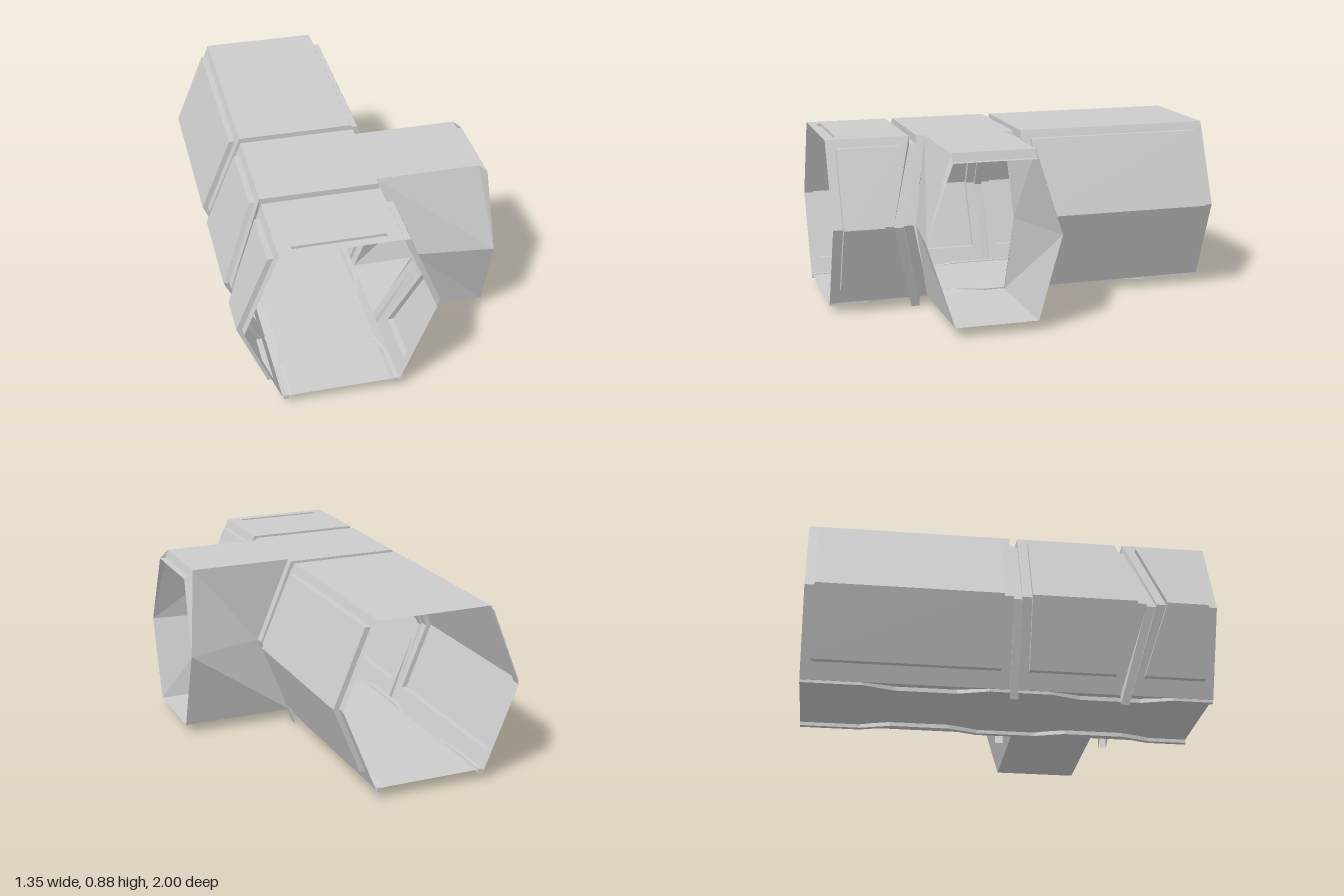
import * as THREE from 'three';

const material = new THREE.MeshStandardMaterial({ color: 0xcccccc, flatShading: true, side: THREE.DoubleSide });
const CX = -0.19;   // tunnel axis
const HW = 0.287;   // half width of roof and floor
const ROOF = 0.88, MID = 0.465, FLOOR = 0.05;

// Mesh from a list of four-cornered faces
function quadMesh(name, quads) {
  const pos = [];
  for (const [a, b, c, d] of quads) pos.push(...a, ...b, ...c, ...a, ...c, ...d);
  const geo = new THREE.BufferGeometry();
  geo.setAttribute('position', new THREE.Float32BufferAttribute(pos, 3));
  geo.computeVertexNormals();
  const mesh = new THREE.Mesh(geo, material);
  mesh.name = name;
  return mesh;
}

// Horizontal rectangle
const flat = (x0, x1, y, z0, z1) => [[x0, y, z0], [x0, y, z1], [x1, y, z1], [x1, y, z0]];

// 0 at roof and floor, 1 at the widest height
const bulge = (y) => (y > MID ? (ROOF - y) / (ROOF - MID) : (y - FLOOR) / (MID - FLOOR));

// An edge across the wall is { c: z at the corners, m: z at the widest height }
const edgeZ = (e, y) => e.c + (e.m - e.c) * bulge(y);

// Outward-facing quad, mirrored for the other side
const orient = (q, s) => (s > 0 ? q : [...q].reverse());

// Slanted side wall with a raised hollow panel, or an opening for the branch
function sideWall(name, s, back, front, open = false) {
  const ys = [ROOF, 0.84, MID, 0.13, FLOOR];
  const inset = 0.048, raise = 0.028;
  const point = (r, c, out = 0) => {
    const y = ys[r], z0 = edgeZ(back, y), z1 = edgeZ(front, y);
    return [CX + s * (HW + 0.17 * bulge(y) + out), y, [z0, z0 + inset, z1 - inset, z1][c]];
  };
  const quads = [];
  const cell = (r, c, out) => quads.push(orient(
    [point(r, c, out), point(r, c + 1, out), point(r + 1, c + 1, out), point(r + 1, c, out)], s));
  for (let r = 0; r < 4; r++) {
    const panelRow = r === 1 || r === 2;
    cell(r, 0, 0);
    cell(r, 2, 0);
    if (open) continue;
    cell(r, 1, panelRow ? raise : 0);
    if (panelRow) for (const c of [1, 2]) {
      const q = [point(r, c), point(r, c, raise), point(r + 1, c, raise), point(r + 1, c)];
      quads.push(orient(c === 1 ? q.reverse() : q, s));
    }
  }
  if (!open) for (const r of [1, 3]) {
    const q = [point(r, 1), point(r, 2), point(r, 2, raise), point(r, 1, raise)];
    quads.push(orient(r === 1 ? q : q.reverse(), s));
  }
  return quadMesh(name, quads);
}

// Recessed band between two tunnel sections
function groove(name, back, front) {
  const outer = [], inner = [];
  for (const [s, order] of [[-1, [2, 1, 0]], [1, [0, 1, 2]]]) for (const i of order) {
    const mid = i === 1;
    outer.push([CX + s * (mid ? 0.457 : HW), [ROOF, MID, FLOOR][i], mid]);
    inner.push([CX + s * (mid ? 0.449 : HW), [0.836, 0.455, 0][i], mid]);
  }
  const at = (p, e) => [p[0], p[1], p[2] ? e.m : e.c];
  const quads = [];
  for (let i = 0; i < 5; i++) {
    quads.push([at(inner[i], back), at(inner[i], front), at(inner[i + 1], front), at(inner[i + 1], back)]);
    quads.push([at(outer[i], back), at(inner[i], back), at(inner[i + 1], back), at(outer[i + 1], back)]);
    quads.push([at(inner[i], front), at(outer[i], front), at(outer[i + 1], front), at(inner[i + 1], front)]);
  }
  return quadMesh(name, quads);
}

// Side branch: hexagonal loft from the tunnel wall to a flared mouth
function branch() {
  const start = [[0.097, ROOF, 0.085], [0.097, ROOF, 0.5], [0.267, MID, 0.59],
    [0.097, FLOOR, 0.5], [0.097, FLOOR, 0.085], [0.267, MID, 0.088]];
  const mouth = [[0.61, ROOF, 0.085], [0.61, ROOF, 0.5], [0.668, MID, 0.635],
    [0.672, FLOOR, 0.5], [0.672, FLOOR, 0.085], [0.668, MID, -0.035]];
  const quads = start.map((p, i) => {
    const j = (i + 1) % 6;
    return [p, start[j], mouth[j], mouth[i]];
  });
  // stepped lip over the mouth, closed at both ends
  const step = [[0.625, 0.838, 0.085], [0.625, 0.838, 0.5]];
  const tip = [[0.656, 0.838, 0.085], [0.656, 0.838, 0.5]];
  quads.push([mouth[0], mouth[1], step[1], step[0]], [step[0], step[1], tip[1], tip[0]]);
  quads.push([mouth[1], mouth[2], tip[1], step[1]], [mouth[0], step[0], tip[0], mouth[5]]);
  return quadMesh('branch', quads);
}

// Wavy rail along one edge of the floor
function rail(s) {
  const path = [[1, 0.27], [0.8, 0.27], [0.65, 0.225], [0.35, 0.225], [0.2, 0.27],
    [-0.1, 0.27], [-0.25, 0.225], [-0.55, 0.225], [-0.7, 0.27], [-1, 0.27]];
  const rings = path.map(([z, off]) => [[-0.012, 0.036], [0.012, 0.036], [0.012, 0.058], [-0.012, 0.058]]
    .map(([dx, y]) => [CX + s * (off + dx), y, z]));
  const quads = [rings[0], [...rings[rings.length - 1]].reverse()];
  for (let i = 0; i + 1 < rings.length; i++) for (let k = 0; k < 4; k++) {
    const n = (k + 1) % 4;
    quads.push(orient([rings[i][k], rings[i + 1][k], rings[i + 1][n], rings[i][n]], s));
  }
  return quadMesh(s > 0 ? 'leftFloorRail' : 'rightFloorRail', quads);
}

export function createModel() {
  const model = new THREE.Group();
  model.name = 'tunnelJunction';
  const edge = (c, m = c) => ({ c, m });
  const L = CX - HW, R = CX + HW;

  // Section boundaries; the front groove is swept forward on the sides
  const sections = [
    ['rear', edge(-1), edge(0)],
    ['middle', edge(0.04), edge(0.54, 0.65)],
    ['front', edge(0.58, 0.7), edge(1)],
  ];
  for (const [name, back, front] of sections) {
    const group = new THREE.Group();
    group.name = name + 'Section';
    group.add(sideWall('rightWall', -1, back, front));
    group.add(sideWall('leftWall', 1, back, front, name === 'middle'));
    if (name !== 'front') group.add(quadMesh('roof', [flat(L, R, ROOF, back.c, front.c)]));
    model.add(group);
  }

  // Front roof with a shallow slot
  const sx0 = -0.41, sx1 = 0.03, z0 = 0.935, z1 = 0.96, deep = ROOF - 0.014;
  const corners = [[sx0, z0], [sx0, z1], [sx1, z1], [sx1, z0]];
  const slotWalls = corners.map(([x, z], i) => {
    const [nx, nz] = corners[(i + 1) % 4];
    return [[x, ROOF, z], [x, deep, z], [nx, deep, nz], [nx, ROOF, nz]];
  });
  model.add(quadMesh('frontRoof', [
    flat(L, R, ROOF, 0.58, z0), flat(L, R, ROOF, z1, 1),
    flat(L, sx0, ROOF, z0, z1), flat(sx1, R, ROOF, z0, z1),
    flat(sx0, sx1, deep, z0, z1), ...slotWalls,
  ]));

  model.add(groove('rearGroove', edge(0), edge(0.04)));
  model.add(groove('frontGroove', edge(0.54, 0.65), edge(0.58, 0.7)));
  model.add(branch());

  // Floor, slightly raised between its edges
  const raised = 0.057, lip = 0.045;
  model.add(quadMesh('floor', [
    flat(L + lip, R - lip, raised, -1, 1),
    [[L, FLOOR, -1], [L, FLOOR, 1], [L + lip, raised, 1], [L + lip, raised, -1]],
    [[R - lip, raised, -1], [R - lip, raised, 1], [R, FLOOR, 1], [R, FLOOR, -1]],
  ]));
  for (const s of [-1, 1]) model.add(rail(s));
  return model;
}
